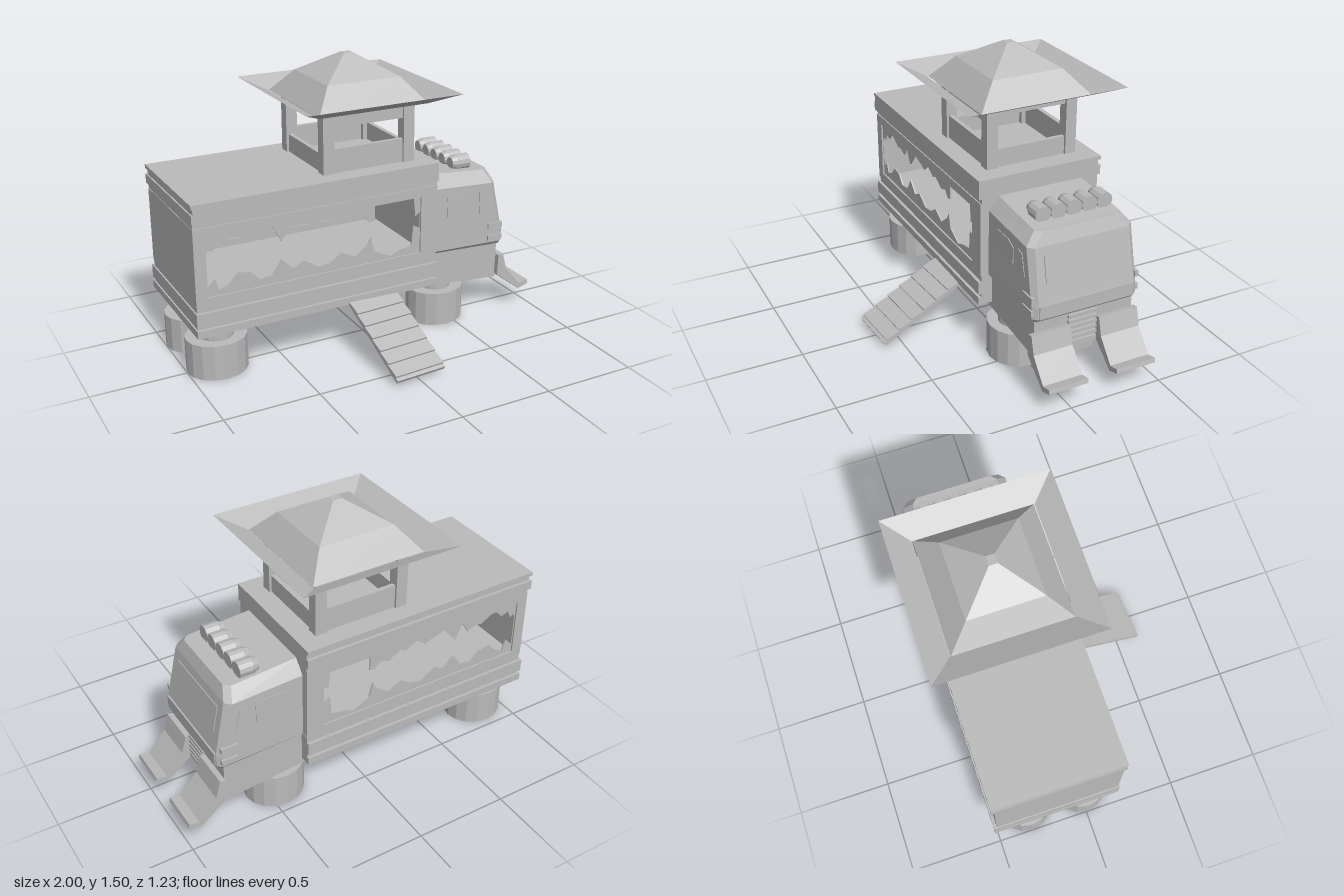
import * as THREE from 'three';

const CZ = -0.175; // centre line of the truck
const grey = new THREE.MeshStandardMaterial({ color: 0xbababa, flatShading: true, side: THREE.DoubleSide });
grey.name = 'plain grey';

export function createModel() {
  const root = new THREE.Group();

  const add = (name, geo, parent = root) => {
    const m = new THREE.Mesh(geo, grey);
    m.name = name;
    parent.add(m);
    return m;
  };
  // Box from its limits
  const box = (name, x0, x1, y0, y1, z0, z1, parent = root) => {
    const m = add(name, new THREE.BoxGeometry(x1 - x0, y1 - y0, z1 - z0), parent);
    m.position.set((x0 + x1) / 2, (y0 + y1) / 2, (z0 + z1) / 2);
    return m;
  };
  const shapeOf = pts => new THREE.Shape(pts.map(p => new THREE.Vector2(...p)));
  // Side profile (x, y) pushed along z
  const plate = (name, shape, z0, z1) => {
    const g = new THREE.ExtrudeGeometry(shape, { depth: z1 - z0, bevelEnabled: false });
    g.translate(0, 0, z0);
    return add(name, g);
  };
  // Skin over rings of points, stacked from bottom to top
  const loft = (rings, capped) => {
    const pos = [], idx = [], n = rings[0].length;
    rings.forEach(r => r.forEach(p => pos.push(...p)));
    for (let k = 0; k < rings.length - 1; k++) {
      for (let i = 0; i < n; i++) {
        const a = k * n + i, b = k * n + (i + 1) % n;
        idx.push(a, b, b + n, a, b + n, a + n);
      }
    }
    if (capped) {
      const t = (rings.length - 1) * n;
      for (let i = 1; i < n - 1; i++) idx.push(0, i + 1, i, t, t + i, t + i + 1);
    }
    const g = new THREE.BufferGeometry();
    g.setAttribute('position', new THREE.Float32BufferAttribute(pos, 3));
    g.setIndex(idx);
    const flat = g.toNonIndexed();
    flat.computeVertexNormals();
    return flat;
  };

  // Cargo body: stacked layers [bottom, top, front inset, back inset]
  const layers = [
    [0.27, 0.31, 0, 0], [0.31, 0.33, 0.016, 0.016], [0.33, 0.40, 0, 0], [0.40, 0.435, 0.016, 0.016],
    [0.835, 0.86, 0.016, 0.016], [0.86, 0.91, 0, 0], [0.91, 0.94, 0, 0.016], [0.94, 0.96, 0, 0],
  ];
  for (const [y0, y1, f, b] of layers) {
    box('bodyLayer', -0.99 + b / 2, 0.357, y0, y1, -0.52 + b, 0.17 - f);
  }
  for (const [x0, x1] of [[-0.985, -0.96], [0.33, 0.355]]) {
    box('endWall', x0, x1, 0.435, 0.835, -0.505, 0.16);
  }

  // Side walls with a long opening, filled by broken panes
  const rect = (x0, x1, y0, y1) => [[x0, y0], [x1, y0], [x1, y1], [x0, y1]];
  const wall = shapeOf(rect(-0.985, 0.355, 0.435, 0.835));
  wall.holes.push(shapeOf(rect(-0.925, 0.26, 0.473, 0.785)));
  const jagged = [
    [-0.92, 0.70], [-0.905, 0.715], [-0.89, 0.70], [-0.87, 0.745], [-0.83, 0.73], [-0.79, 0.77], [-0.755, 0.765],
    [-0.70, 0.73], [-0.66, 0.735], [-0.61, 0.715], [-0.575, 0.775], [-0.53, 0.69], [-0.46, 0.775], [-0.37, 0.75],
    [-0.34, 0.735], [-0.29, 0.775], [-0.22, 0.74], [-0.19, 0.755], [-0.12, 0.715], [-0.07, 0.73], [-0.04, 0.695],
    [-0.01, 0.70], [-0.01, 0.78], [0.22, 0.78], [0.23, 0.68], [0.257, 0.70], [0.257, 0.61], [0.22, 0.63],
    [0.21, 0.52], [0.15, 0.51], [0.08, 0.485], [-0.01, 0.53], [-0.03, 0.61], [-0.05, 0.575], [-0.12, 0.52],
    [-0.20, 0.56], [-0.26, 0.52], [-0.33, 0.51], [-0.41, 0.56], [-0.47, 0.53], [-0.53, 0.59], [-0.58, 0.52],
    [-0.65, 0.51], [-0.70, 0.56], [-0.76, 0.57], [-0.81, 0.52], [-0.86, 0.50], [-0.88, 0.56], [-0.92, 0.52],
  ];
  const pane = shapeOf(rect(-0.925, 0.26, 0.473, 0.785));
  pane.holes.push(shapeOf(jagged));
  for (const [z, p] of [[0.135, 0.143], [-0.505, -0.497]]) {
    plate('sideWall', wall, z, z + 0.025);
    plate('brokenPane', pane, p, p + 0.008);
  }

  // Drum wheels with hub posts
  for (const x of [-0.84, 0.445]) {
    for (const z of [0.005, -0.315]) {
      const wheel = add('wheel', new THREE.CylinderGeometry(0.16, 0.16, 0.187, 16));
      wheel.position.set(x, 0.1, z);
      wheel.scale.z = 0.91;
      add('wheelPost', new THREE.CylinderGeometry(0.09, 0.09, 0.1, 16)).position.set(x, 0.235, z);
    }
  }

  // Cab: chamfered rings [y rear, y front, front x, half depth, chamfer]
  const cabRing = ([yr, yf, xf, h, c]) => [
    [xf - c, yf, CZ + h], [xf, yf, CZ + h - c], [xf, yf, CZ - h + c],
    [xf - c, yf, CZ - h], [0.355, yr, CZ - h], [0.355, yr, CZ + h],
  ];
  add('cab', loft([
    [0.42, 0.40, 0.805, 0.275, 0.01], [0.435, 0.42, 0.82, 0.29, 0.02], [0.48, 0.48, 0.82, 0.29, 0.025],
    [0.79, 0.77, 0.76, 0.288, 0.03], [0.862, 0.835, 0.735, 0.235, 0.03],
  ].map(cabRing), true));
  plate('cabBase', shapeOf([
    [0.357, 0.425], [0.357, 0.27], [0.305, 0.24], [0.79, 0.195], [0.79, 0.405],
  ]), CZ - 0.28, CZ + 0.27);

  // Windscreen, side windows and corner vents
  const screen = add('windscreen', new THREE.BoxGeometry(0.008, 0.138, 0.43));
  screen.position.set(0.784, 0.658, CZ);
  screen.rotation.z = 0.204;
  const doorWindow = shapeOf([[0.45, 0.62], [0.61, 0.62], [0.61, 0.71], [0.56, 0.735], [0.45, 0.735]]);
  const quarterWindow = shapeOf([[0.655, 0.60], [0.725, 0.61], [0.695, 0.72], [0.655, 0.73]]);
  for (const s of [1, -1]) {
    const z = CZ + s * 0.289;
    plate('doorWindow', doorWindow, z - 0.003, z + 0.003);
    plate('quarterWindow', quarterWindow, z - 0.003, z + 0.003);
    for (const [y0, y1] of [[0.505, 0.535], [0.435, 0.465]]) {
      box('cornerVent', 0.715, 0.805, y0, y1, z - 0.012, z + 0.008);
    }
  }
  box('cabTrim', 0.8, 0.826, 0.42, 0.49, CZ - 0.26, CZ + 0.26);

  // Grille slats
  for (let i = 0; i < 6; i++) {
    const y = 0.215 + i * 0.03;
    box('grilleSlat', 0.78, 0.803, y, y + 0.018, -0.25, -0.09);
  }

  // Two scoop-shaped bumpers
  const scoop = shapeOf([
    [0.785, 0.22], [0.935, 0.10], [1.0, 0.122], [0.995, 0.145], [0.94, 0.132],
    [0.845, 0.245], [0.82, 0.34], [0.79, 0.335],
  ]);
  plate('bumperScoop', scoop, -0.09, 0.125);
  plate('bumperScoop', scoop, -0.47, -0.25);

  // Roof lamps
  for (let i = 0; i < 5; i++) {
    const lamp = add('roofLamp', new THREE.CylinderGeometry(0.043, 0.043, 0.075, 12));
    const back = add('roofLampBack', new THREE.CylinderGeometry(0.043, 0.032, 0.03, 12));
    lamp.position.set(0.613, 0.872, -0.02 - i * 0.085);
    back.position.set(0.56, 0.872, -0.02 - i * 0.085);
    lamp.rotation.z = back.rotation.z = -Math.PI / 2;
  }

  // Watchtower: posts and rails
  const tower = new THREE.Group();
  tower.name = 'watchtower';
  tower.position.z = CZ;
  root.add(tower);
  for (const s of [1, -1]) {
    for (const t of [1, -1]) {
      const post = add('towerPost', new THREE.BoxGeometry(0.062, 0.33, 0.06), tower);
      post.position.set(s * 0.229, 1.12, t * 0.222);
    }
    const z = s * 0.228, x = s * 0.235;
    box('lowerRail', -0.2, 0.2, 0.96, 1.085, z - 0.012, z + 0.012, tower);
    box('upperRail', -0.2, 0.2, 1.195, 1.28, z - 0.012, z + 0.012, tower);
    box('sideLowerRail', x - 0.012, x + 0.012, 0.96, 1.055, -0.2, 0.2, tower);
    box('sideUpperRail', x - 0.012, x + 0.012, 1.23, 1.28, -0.2, 0.2, tower);
  }

  // Hipped roof inside an upturned brim
  const square = (y, x, z) => [[x, y, z], [x, y, -z], [-x, y, -z], [-x, y, z]];
  add('roof', loft([square(1.277, 0.305, 0.305), square(1.4, 0.205, 0.195), square(1.51, 0.025, 0.022)], true), tower);
  add('roofBrim', loft([square(1.275, 0.305, 0.31), square(1.335, 0.432, 0.434)], false), tower);

  // Side ramp with treads
  const ramp = new THREE.Group();
  ramp.name = 'sideRamp';
  ramp.position.set(-0.025, 0.282, 0.162);
  ramp.rotation.set(0.485, 0.065, 0, 'YXZ');
  root.add(ramp);
  box('rampBoard', -0.142, 0.142, -0.018, 0, 0, 0.515, ramp);
  for (let i = 0; i < 6; i++) {
    const tread = box('rampTread', -0.142, 0.142, -0.006, 0.006, 0.01 + i * 0.082, 0.085 + i * 0.082, ramp);
    tread.rotation.x = -0.12;
  }
  return root;
}
